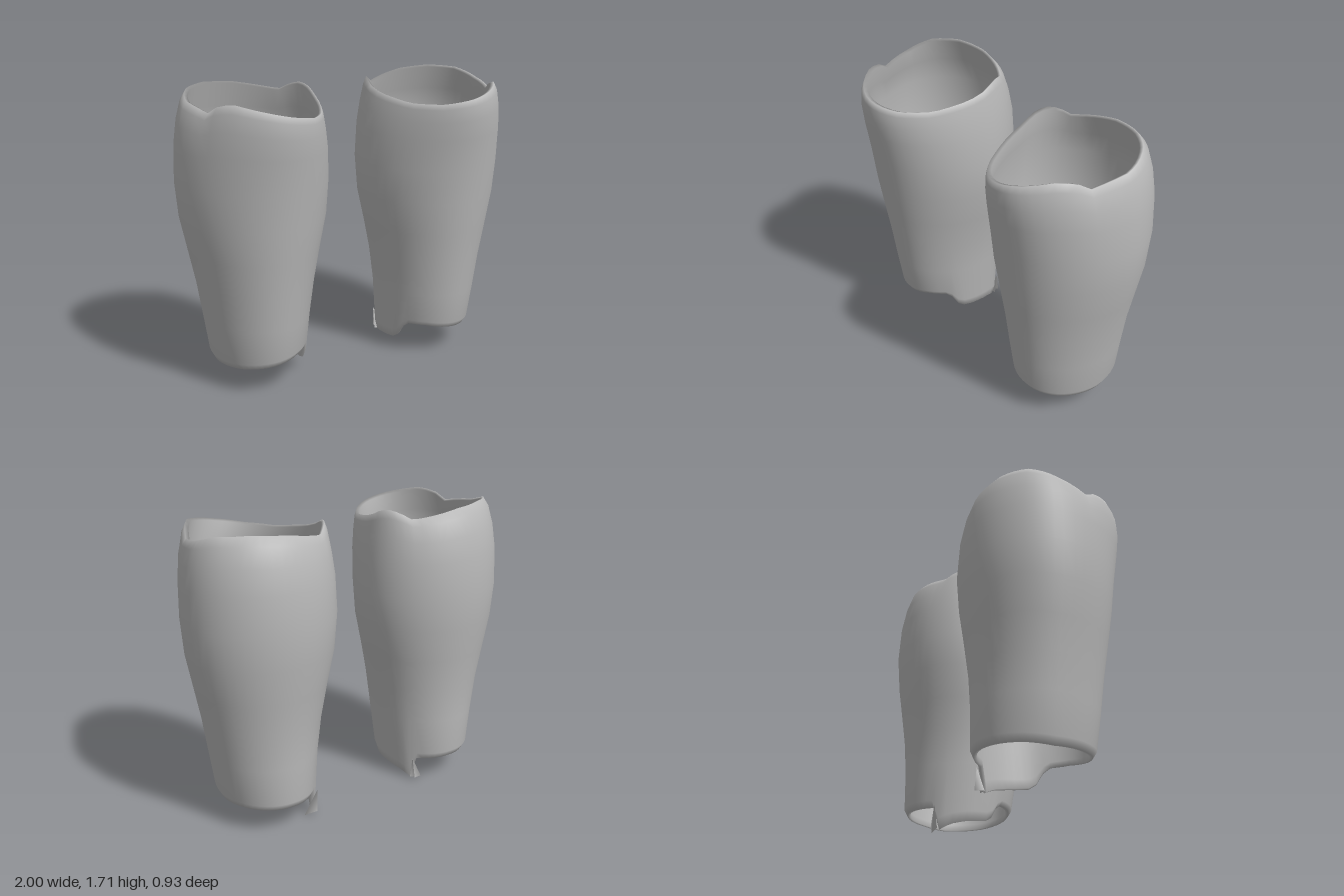
import * as THREE from 'three';

const SEGMENTS = 48;

// Cross-section extents by height: [y, xMin, xMax, zBack, zFront]
const OUTER = [
  [0.14, 0.305, 0.82, -0.37, 0.25],
  [0.18, 0.29, 0.842, -0.39, 0.272],
  [0.4, 0.265, 0.875, -0.39, 0.3],
  [0.6, 0.235, 0.905, -0.4, 0.325],
  [0.8, 0.195, 0.945, -0.425, 0.355],
  [1.0, 0.15, 0.985, -0.452, 0.385],
  [1.2, 0.135, 1.0, -0.468, 0.41],
  [1.4, 0.145, 0.992, -0.455, 0.445],
  [1.52, 0.162, 0.975, -0.43, 0.463],
  [1.61, 0.178, 0.95, -0.395, 0.465],
  [1.65, 0.19, 0.925, -0.355, 0.455],
];
const WALL = 0.028;
const LIP = [1.64, 0.205, 0.905, -0.342, 0.43];
const INNER = OUTER.slice(0, 9).reverse()
  .map(([y, a, b, c, d]) => [y, a + WALL, b - WALL, c + WALL, d - WALL]);
INNER[INNER.length - 1] = [0.143, 0.322, 0.805, -0.355, 0.236];
const RINGS = [...OUTER, LIP, ...INNER];

// Rim heights by angle in degrees: 0 outer side, 90 front, 180 inner side, 270 back
const TOP = [[0, 1.65], [12, 1.635], [23, 1.615], [32, 1.665], [45, 1.675], [65, 1.65], [90, 1.62],
  [120, 1.59], [145, 1.585], [170, 1.62], [185, 1.665], [200, 1.69], [214, 1.675], [226, 1.64],
  [245, 1.66], [270, 1.69], [300, 1.705], [330, 1.695], [360, 1.65]];
const BOTTOM = [[0, 0.135], [45, 0.15], [90, 0.175], [120, 0.195], [142, 0.195], [150, 0.165], [157.5, 0.1],
  [165, 0.075], [187.5, 0.06], [205, 0.04], [217.5, 0.008], [225, 0.14], [270, 0.15], [330, 0.145], [360, 0.135]];

function sample(keys, deg) {
  const i = Math.max(1, keys.findIndex((k) => k[0] >= deg));
  const [a, va] = keys[i - 1], [b, vb] = keys[i];
  return va + (vb - va) * (deg - a) / (b - a);
}

// One closed shell: up the outside, over the rim, down the inside
function shellGeometry(side) {
  const positions = [], index = [];
  for (const [y, x0, x1, zb, zf] of RINGS) {
    const wTop = Math.max(0, (y - 1.1) / 0.55) ** 2;
    const wBottom = Math.max(0, (0.45 - y) / 0.31) ** 1.5;
    for (let j = 0; j < SEGMENTS; j++) {
      const deg = j * 360 / SEGMENTS, t = deg * Math.PI / 180;
      const s = Math.sin(t), zc = -0.06;
      // the shin ridge narrows towards the front
      const pinch = 1 - 0.13 * Math.max(0, s) * y / 1.65;
      positions.push(
        side * ((x0 + x1) / 2 + (x1 - x0) / 2 * Math.cos(t) * pinch),
        y + wTop * (sample(TOP, deg) - 1.65) + wBottom * (sample(BOTTOM, deg) - 0.14),
        zc + s * (s > 0 ? zf - zc : zc - zb));
    }
  }
  const n = RINGS.length;
  for (let i = 0; i < n; i++) {
    for (let j = 0; j < SEGMENTS; j++) {
      const k = (j + 1) % SEGMENTS, m = (i + 1) % n;
      const a = i * SEGMENTS + j, b = i * SEGMENTS + k;
      const c = m * SEGMENTS + j, d = m * SEGMENTS + k;
      if (side > 0) index.push(a, c, b, b, c, d);
      else index.push(a, b, c, b, d, c);
    }
  }
  return makeGeometry(positions, index);
}

// Small folded corner at the back of the ankle tab
function flapGeometry(side) {
  const positions = [
    [0.345, 0.15, -0.285], [0.345, 0.012, -0.265], [0.425, 0, -0.27], [0.355, 0.02, -0.3],
  ].flatMap(([x, y, z]) => [side * x, y, z]);
  return makeGeometry(positions, side > 0 ? [0, 1, 2, 0, 2, 3] : [0, 2, 1, 0, 3, 2]);
}

function makeGeometry(positions, index) {
  const g = new THREE.BufferGeometry();
  g.setAttribute('position', new THREE.Float32BufferAttribute(positions, 3));
  g.setIndex(index);
  g.computeVertexNormals();
  return g;
}

export function createModel() {
  const model = new THREE.Group();
  model.name = 'shinGuards';
  const grey = new THREE.MeshStandardMaterial({ color: 0xb8b8b8, side: THREE.DoubleSide });
  grey.name = 'plainGrey';
  for (const [side, name] of [[1, 'left'], [-1, 'right']]) {
    const guard = new THREE.Group();
    guard.name = name + 'ShinGuard';
    const shell = new THREE.Mesh(shellGeometry(side), grey);
    shell.name = name + 'Shell';
    const flap = new THREE.Mesh(flapGeometry(side), grey);
    flap.name = name + 'AnkleFlap';
    guard.add(shell, flap);
    model.add(guard);
  }
  return model;
}
